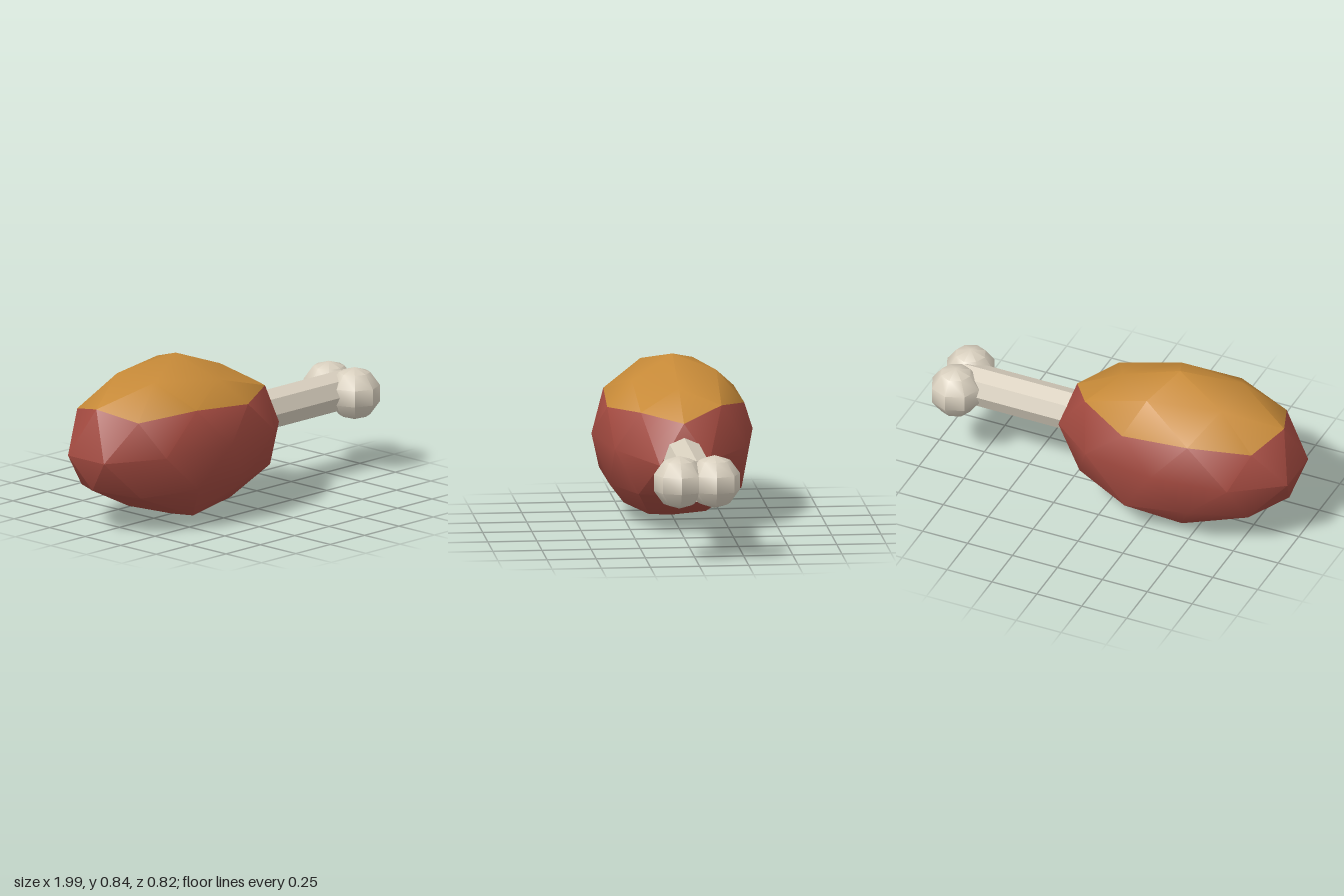
import * as THREE from 'three';
import { toCreasedNormals } from 'three/addons/utils/BufferGeometryUtils.js';

const CREASE = THREE.MathUtils.degToRad(40);
const CENTER_X = -0.357;

const material = (name, color) => {
  const m = new THREE.MeshStandardMaterial({ color });
  m.name = name;
  return m;
};

// Meat: a stretched, slightly uneven icosphere, with the browned cap as its own group
function meatGeometry() {
  const positions = [];
  const vertex = (x, y, z) => positions.push(x, y, z) / 3 - 1;

  // One ring of vertices; heights vary a little, main and in-between points have their own radius
  const ring = (heights, startDeg, rx, rz, radii) => {
    const ids = heights.map((y, i) => {
      const a = THREE.MathUtils.degToRad(startDeg + (360 / heights.length) * i);
      const r = radii[i % radii.length];
      return vertex(CENTER_X + rx * r * Math.cos(a), y, rz * r * Math.sin(a));
    });
    return (i) => ids[(i + ids.length) % ids.length];
  };

  const top = vertex(-0.34, 0.837, 0);
  const A = ring([0.72, 0.72, 0.76, 0.76, 0.765], 0, 0.643, 0.43, [0.526]);
  const B = ring([0.585, 0.62, 0.6, 0.63, 0.6, 0.65, 0.6, 0.63, 0.61, 0.65], 0, 0.66, 0.41, [0.894, 0.851]);
  const E = ring([0.38, 0.42, 0.43, 0.42, 0.4, 0.4, 0.42, 0.44, 0.42, 0.4], 18, 0.67, 0.41, [1]);
  const D = ring([0.205, 0.205, 0.2, 0.22, 0.2, 0.23, 0.2, 0.24, 0.17, 0.22], 0, 0.66, 0.415, [0.851, 0.894]);
  const C = ring([0.06, 0.05, 0.1, 0.075, 0.07], 36, 0.62, 0.47, [0.526]);
  const bottom = vertex(-0.37, 0, 0);

  const cap = [];
  const body = [];
  for (let i = 0; i < 5; i++) {
    const j = 2 * i;
    cap.push(top, A(i + 1), A(i));
    cap.push(A(i), B(j + 1), B(j), A(i), B(j), B(j - 1), A(i), A(i + 1), B(j + 1));
    body.push(bottom, C(i), C(i + 1));
    body.push(C(i), D(j + 1), D(j + 2), C(i), D(j), D(j + 1), D(j + 2), C(i + 1), C(i));
  }
  for (let k = 0; k < 10; k++) {
    body.push(E(k), B(k), B(k + 1), B(k), E(k), E(k - 1));
    body.push(E(k), D(k + 1), D(k), D(k), E(k - 1), E(k));
  }

  const g = new THREE.BufferGeometry();
  g.setAttribute('position', new THREE.Float32BufferAttribute(positions, 3));
  g.setIndex([...cap, ...body]);
  g.addGroup(0, cap.length, 0);
  g.addGroup(cap.length, body.length, 1);
  return toCreasedNormals(g, CREASE);
}

export function createModel() {
  const model = new THREE.Group();
  model.name = 'drumstick';

  const glaze = material('golden glaze', 0xc78a38);
  const roast = material('roast red', 0xa34a40);
  const boneColor = material('bone cream', 0xd8cfbe);

  const add = (name, geometry, mat, x = 0, y = 0, z = 0) => {
    const mesh = new THREE.Mesh(geometry, mat);
    mesh.name = name;
    mesh.position.set(x, y, z);
    model.add(mesh);
    return mesh;
  };

  add('meat', meatGeometry(), [glaze, roast]);

  // Eight-sided bone shaft lying along x
  const shaft = new THREE.CylinderGeometry(0.106, 0.106, 0.72, 8);
  shaft.rotateZ(-Math.PI / 2);
  add('boneShaft', toCreasedNormals(shaft, CREASE), boneColor, 0.5, 0.41, 0);

  // Pair of knobs at the end of the bone
  const knob = toCreasedNormals(new THREE.SphereGeometry(0.136, 8, 5), CREASE);
  for (const side of [1, -1]) {
    add(side > 0 ? 'frontKnob' : 'backKnob', knob, boneColor, 0.868, 0.41, side * 0.09);
  }

  return model;
}
